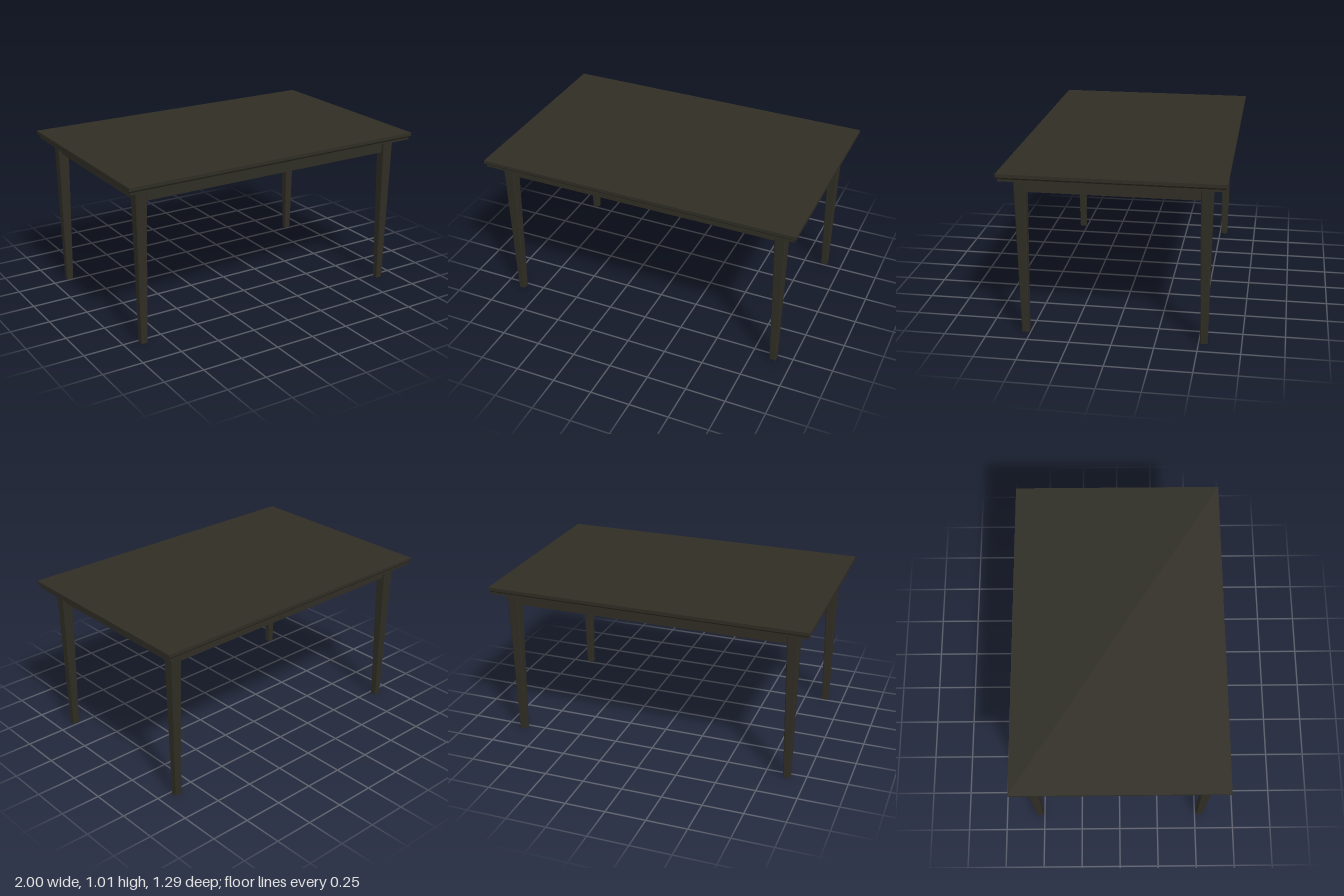
import * as THREE from 'three';

// Stacks chamfered rectangles [y, halfX, halfZ, chamfer] into a closed, flat-faced solid
function loft(sections) {
  const rings = sections.map(([y, a, b, c]) => [
    [a, y, b - c], [a, y, -b + c], [a - c, y, -b], [-a + c, y, -b],
    [-a, y, -b + c], [-a, y, b - c], [-a + c, y, b], [a - c, y, b],
  ]);
  const pos = [];
  const tri = (p, q, r) => pos.push(...p, ...q, ...r);
  const n = 8;
  for (let k = 0; k < rings.length - 1; k++) {
    const lo = rings[k], hi = rings[k + 1];
    for (let i = 0; i < n; i++) {
      const j = (i + 1) % n;
      tri(lo[i], lo[j], hi[j]);
      tri(lo[i], hi[j], hi[i]);
    }
  }
  const bottom = rings[0], top = rings[rings.length - 1];
  for (let i = 1; i < n - 1; i++) {
    tri(bottom[0], bottom[i + 1], bottom[i]);
    tri(top[0], top[i], top[i + 1]);
  }
  const g = new THREE.BufferGeometry();
  g.setAttribute('position', new THREE.Float32BufferAttribute(pos, 3));
  g.computeVertexNormals();
  return g;
}

export function createModel() {
  const table = new THREE.Group();
  table.name = 'table';
  const wood = new THREE.MeshStandardMaterial({ color: 0x2f2d24 });
  wood.name = 'dark wood';

  const add = (name, geometry, x = 0, y = 0, z = 0) => {
    const mesh = new THREE.Mesh(geometry, wood);
    mesh.name = name;
    mesh.position.set(x, y, z);
    table.add(mesh);
  };

  // Top board with a bevelled under-edge, above a slightly smaller board
  const e = 0.0005;
  add('tableTop', loft([
    [0.967, 0.988, 0.636, e],
    [0.98, 0.988, 0.636, e],
    [0.992, 1, 0.647, e],
    [1.012, 1, 0.647, e],
  ]));

  // Four tapered legs with softened corners
  const legX = 0.884, legZ = 0.531;
  const leg = loft([[0, 0.021, 0.021, 0.004], [0.968, 0.036, 0.036, 0.006]]);
  for (const sx of [-1, 1]) {
    for (const sz of [-1, 1]) {
      add((sz > 0 ? 'front' : 'back') + (sx > 0 ? 'Left' : 'Right') + 'Leg', leg, sx * legX, 0, sz * legZ);
    }
  }

  // Apron rails, set just behind the outer faces of the legs
  const low = 0.88, high = 0.968, thick = 0.034;
  const h = high - low, y = (high + low) / 2;
  const longRail = new THREE.BoxGeometry(legX * 2, h, thick);
  const shortRail = new THREE.BoxGeometry(thick, h, legZ * 2);
  for (const s of [-1, 1]) {
    add(s > 0 ? 'frontApron' : 'backApron', longRail, 0, y, s * (legZ - 0.002));
    add(s > 0 ? 'leftApron' : 'rightApron', shortRail, s * (legX - 0.002), y, 0);
  }
  return table;
}
